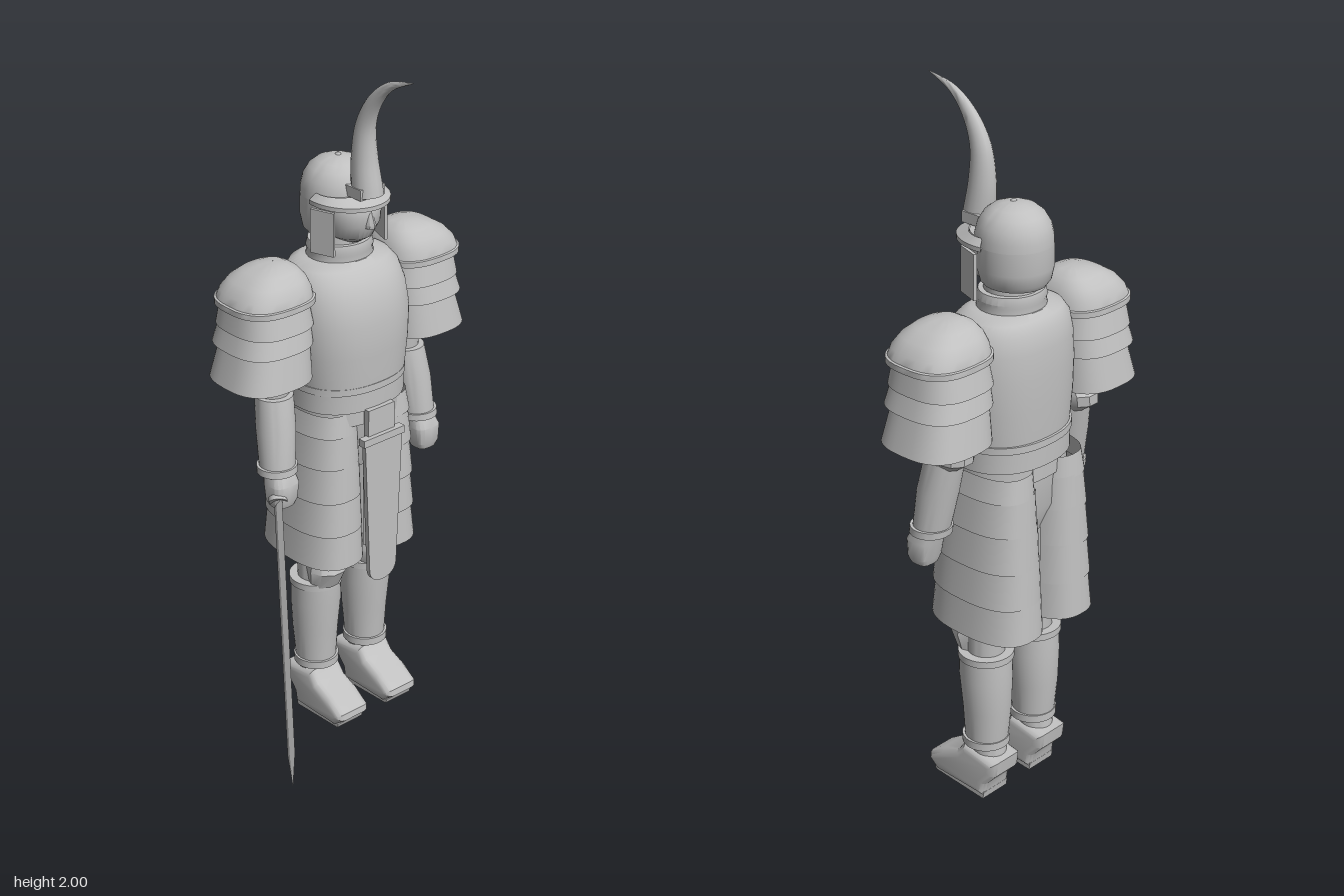
import * as THREE from 'three';
import { toCreasedNormals } from 'three/addons/utils/BufferGeometryUtils.js';

const steel = new THREE.MeshStandardMaterial({ color: 0xc0c0c0, side: THREE.DoubleSide });
steel.name = 'grey steel';

function add(parent, name, geometry) {
  const mesh = new THREE.Mesh(geometry, steel);
  mesh.name = name;
  parent.add(mesh);
  return mesh;
}

// Skin over superelliptic rings [y, centreX, centreZ, radiusX, radiusZ], bottom to top
function loft(rings, { n = 2, sides = 32, from = 0, to = Math.PI * 2, capped = false, crease = 0.6 } = {}) {
  const list = rings.slice();
  if (capped) {
    const cap = ([y, x, z]) => [y, x, z, 0.0005, 0.0005];
    list.unshift(cap(rings[0]));
    list.push(cap(rings[rings.length - 1]));
  }
  const power = v => Math.sign(v) * Math.abs(v) ** (2 / n);
  const pos = [], index = [], w = sides + 1;
  list.forEach(([y, cx, cz, rx, rz]) => {
    for (let j = 0; j <= sides; j++) {
      const t = from + (to - from) * j / sides;
      pos.push(cx + rx * power(Math.cos(t)), y, cz + rz * power(Math.sin(t)));
    }
  });
  for (let i = 0; i < list.length - 1; i++) {
    for (let j = 0; j < sides; j++) {
      const a = i * w + j;
      index.push(a, a + w, a + 1, a + 1, a + w, a + w + 1);
    }
  }
  const g = new THREE.BufferGeometry();
  g.setAttribute('position', new THREE.Float32BufferAttribute(pos, 3));
  g.setIndex(index);
  return toCreasedNormals(g, crease);
}

// Side profile of [z, y] points given thickness across x
function sideProfile(points, width, bevel) {
  const g = new THREE.ExtrudeGeometry(new THREE.Shape(points.map(p => new THREE.Vector2(...p))), {
    depth: width - 2 * bevel, bevelEnabled: bevel > 0, bevelThickness: bevel,
    bevelSize: bevel, bevelOffset: -bevel, bevelSegments: 3,
  });
  g.translate(0, 0, bevel - width / 2).rotateY(-Math.PI / 2);
  return toCreasedNormals(g, 0.6);
}

function buildHead(body) {
  add(body, 'neck', loft([[1.42, 0, 0, 0.075, 0.075], [1.56, 0, 0, 0.07, 0.07]]));
  add(body, 'collar', loft([[1.43, 0, 0, 0.1, 0.09], [1.465, 0, 0, 0.093, 0.085], [1.475, 0, 0, 0.096, 0.088],
    [1.495, 0, 0, 0.09, 0.083], [1.495, 0, 0, 0.075, 0.07]]));
  add(body, 'face', loft([[1.5, 0, 0.035, 0.03, 0.045], [1.52, 0, 0.04, 0.06, 0.07], [1.56, 0, 0.04, 0.082, 0.087],
    [1.6, 0, 0.04, 0.085, 0.09], [1.64, 0, 0.03, 0.085, 0.085]], { capped: true }));
  add(body, 'nose', loft([[1.555, 0, 0.12, 0.016, 0.022], [1.565, 0, 0.122, 0.016, 0.022], [1.61, 0, 0.115, 0.006, 0.012]],
    { capped: true, sides: 8 }));

  // Helmet: closed dome above, open at the face below
  const dome = [[1.61, 1], [1.64, 0.99], [1.67, 0.92], [1.695, 0.77], [1.712, 0.56], [1.722, 0.3], [1.726, 0.01]];
  add(body, 'helmetDome', loft(dome.map(([y, k]) => [y, 0, -0.008, 0.1 * k, 0.103 * k])));
  add(body, 'neckGuard', loft([[1.51, 0, -0.01, 0.08, 0.085], [1.525, 0, -0.01, 0.093, 0.095],
    [1.56, 0, -0.008, 0.101, 0.104], [1.62, 0, -0.008, 0.1, 0.103]], { from: Math.PI - 0.4, to: Math.PI * 2 + 0.4 }));
  add(body, 'helmetFinial', loft([[1.72, 0, -0.005, 0.012, 0.012], [1.731, 0, -0.005, 0.004, 0.004]],
    { capped: true, sides: 12 }));
  add(body, 'visor', loft([[1.625, 0, 0.03, 0.09, 0.075], [1.615, 0, 0.03, 0.112, 0.125], [1.627, 0, 0.03, 0.112, 0.125],
    [1.645, 0, 0.03, 0.095, 0.08]], { from: -0.2, to: Math.PI + 0.2 }));
  for (const s of [-1, 1]) {
    const plate = add(body, 'cheekPlate', new THREE.BoxGeometry(0.009, 0.125, 0.072));
    plate.position.set(s * 0.103, 1.545, 0.052);
    plate.rotation.y = -s * 0.33;
  }

  // Curved tapering horn
  add(body, 'hornMount', new THREE.BoxGeometry(0.085, 0.03, 0.06)).position.set(0, 1.658, 0.105);
  const curve = new THREE.CatmullRomCurve3([[1.645, 0.115], [1.75, 0.102], [1.84, 0.108], [1.91, 0.142],
    [1.965, 0.2], [1.997, 0.29]].map(([y, z]) => new THREE.Vector3(0, y, z)));
  const steps = 28, around = 16;
  const horn = new THREE.TubeGeometry(curve, steps, 1, around);
  const p = horn.attributes.position, v = new THREE.Vector3();
  for (let i = 0; i <= steps; i++) {
    const centre = curve.getPointAt(i / steps);
    const radius = 0.044 * (1 - (i / steps) ** 1.35) + 0.0005;
    for (let j = 0; j <= around; j++) {
      const k = i * (around + 1) + j;
      v.fromBufferAttribute(p, k).sub(centre).multiplyScalar(radius);
      v.x *= 0.95 - 0.25 * i / steps;
      v.add(centre);
      p.setXYZ(k, v.x, v.y, v.z);
    }
  }
  add(body, 'horn', toCreasedNormals(horn, 0.8));
}

function buildTorso(body) {
  add(body, 'breastplate', loft([[1.1, 0, 0.018, 0.168, 0.148], [1.2, 0, 0.018, 0.18, 0.152], [1.29, 0, 0.018, 0.184, 0.152],
    [1.36, 0, 0.012, 0.178, 0.143], [1.41, 0, 0.005, 0.165, 0.128], [1.437, 0, 0, 0.145, 0.108],
    [1.45, 0, 0, 0.11, 0.09]], { n: 2.35, capped: true, sides: 48 }));
  const bands = [[1.092, 1.112, 0.173, 0.153], [1.035, 1.092, 0.17, 0.149], [0.99, 1.035, 0.165, 0.14]];
  bands.forEach(([y0, y1, rx, rz]) =>
    add(body, 'waistBand', loft([[y0, 0, 0.015, rx, rz], [y1, 0, 0.015, rx, rz]], { n: 2.3, capped: true, sides: 48 })));
  add(body, 'hips', loft([[0.82, 0, 0, 0.13, 0.09], [0.9, 0, 0, 0.155, 0.12], [1.03, 0, 0.01, 0.16, 0.13]], { capped: true }));

  // Hanging front cloth
  add(body, 'buckle', new THREE.BoxGeometry(0.095, 0.1, 0.02)).position.set(0, 0.99, 0.167);
  add(body, 'clothBar', new THREE.BoxGeometry(0.148, 0.022, 0.024)).position.set(0, 0.95, 0.178);
  const shape = new THREE.Shape();
  shape.moveTo(-0.068, 0.95);
  shape.lineTo(-0.05, 0.53);
  shape.quadraticCurveTo(-0.045, 0.49, 0, 0.488);
  shape.quadraticCurveTo(0.045, 0.49, 0.05, 0.53);
  shape.lineTo(0.068, 0.95);
  add(body, 'frontCloth', new THREE.ExtrudeGeometry(shape, { depth: 0.014, bevelEnabled: false })).position.z = 0.173;
}

function buildSide(body, s) {
  // Overlapping skirt plates, open towards the middle
  const rows = [[0.965, 1.03, 0.082, 0.14], [0.87, 0.972, 0.089, 0.146], [0.765, 0.88, 0.094, 0.152],
    [0.66, 0.775, 0.098, 0.157], [0.555, 0.67, 0.1, 0.162]];
  const mid = s > 0 ? 0 : Math.PI;
  rows.forEach(([y0, y1, rx, rz]) => {
    const back = -0.006 * (1.03 - y0) / 0.47;
    add(body, 'skirtPlate', loft([[y0, s * 0.098, back, rx + 0.003, rz + 0.005], [y1, s * 0.094, back, rx - 0.005, rz - 0.003]],
      { n: 2.5, from: mid - 2.6, to: mid + 2.6 }));
  });

  // Shoulder dome and flared plates
  const x = s * 0.262;
  add(body, 'shoulderDome', loft([[1.378, x, 0, 0.126, 0.121], [1.394, x, 0, 0.126, 0.121], [1.396, x, 0, 0.12, 0.116],
    [1.418, s * 0.259, 0, 0.114, 0.11], [1.445, s * 0.252, 0, 0.096, 0.094], [1.467, s * 0.243, 0, 0.069, 0.069],
    [1.48, s * 0.235, 0, 0.036, 0.037], [1.484, s * 0.232, 0, 0.001, 0.001]], { n: 2.7, sides: 40 }));
  const plates = [[1.315, 1.385, 0.118, 0.108], [1.262, 1.325, 0.122, 0.112], [1.16, 1.275, 0.125, 0.11]];
  plates.forEach(([y0, y1, r0, r1], i) => {
    const cx = s * (0.262 + 0.008 * i);
    add(body, 'shoulderPlate', loft([[y0, cx, -0.003, r0, r0 + 0.006], [y1, s * 0.262, -0.003, r1, r1]], { n: 2.7, sides: 40 }));
  });

  // Arm
  add(body, 'upperArm', loft([[1.09, s * 0.238, -0.005, 0.046, 0.046], [1.25, s * 0.235, -0.005, 0.055, 0.055],
    [1.4, s * 0.225, 0, 0.06, 0.06]], { capped: true }));
  add(body, 'elbowGuard', loft([[1.075, s * 0.24, -0.015, 0.035, 0.03], [1.1, s * 0.24, -0.025, 0.052, 0.055],
    [1.13, s * 0.238, -0.025, 0.055, 0.056], [1.155, s * 0.236, -0.015, 0.05, 0.045]], { capped: true, sides: 10 }));
  add(body, 'forearm', loft([[0.885, s * 0.26, 0.038, 0.05, 0.05], [1.0, s * 0.25, 0.022, 0.056, 0.056],
    [1.095, s * 0.241, 0.005, 0.054, 0.054]], { capped: true }));
  add(body, 'wristRing', loft([[0.878, s * 0.261, 0.039, 0.058, 0.056], [0.898, s * 0.26, 0.037, 0.058, 0.056]], { capped: true }));
  add(body, 'hand', loft([[0.782, s * 0.265, 0.06, 0.032, 0.03], [0.8, s * 0.265, 0.06, 0.041, 0.036],
    [0.85, s * 0.263, 0.058, 0.045, 0.041], [0.885, s * 0.261, 0.045, 0.036, 0.036]], { n: 3.2, sides: 16, capped: true }));

  // Leg
  const lx = s * 0.095;
  add(body, 'thigh', loft([[0.46, lx, 0, 0.052, 0.052], [0.6, lx, 0, 0.058, 0.058], [0.9, s * 0.085, 0, 0.075, 0.08]], { capped: true }));
  add(body, 'kneeGuard', loft([[0.452, lx, 0.04, 0.05, 0.045], [0.505, lx, 0.05, 0.06, 0.06], [0.55, lx, 0.045, 0.045, 0.045]],
    { capped: true, sides: 10 }));
  add(body, 'greave', loft([[0.17, lx, -0.002, 0.058, 0.06], [0.28, lx, -0.004, 0.066, 0.068], [0.38, lx, 0, 0.073, 0.074],
    [0.455, lx, 0.003, 0.072, 0.073]], { capped: true }));
  [[0.165, 0.188, 0.066], [0.44, 0.46, 0.077]].forEach(([y0, y1, r]) =>
    add(body, 'greaveRing', loft([[y0, lx, 0, r, r], [y1, lx, 0, r, r]], { capped: true })));
  add(body, 'ankle', loft([[0.1, lx, -0.015, 0.046, 0.05], [0.18, lx, -0.005, 0.048, 0.052]], { capped: true }));
  const boot = add(body, 'boot', sideProfile([[0.175, 0.045], [0.172, 0.065], [0.12, 0.1], [0.065, 0.122], [0.038, 0.155],
    [-0.08, 0.135], [-0.075, 0.09], [-0.04, 0.05], [-0.034, 0.012], [0.14, 0.016]], 0.118, 0.022));
  boot.position.x = lx;
  const sole = add(body, 'sole', sideProfile([[0.15, 0.012], [0.155, 0.026], [-0.036, 0.022], [-0.032, 0]], 0.095, 0));
  sole.position.x = lx;
}

function buildSword() {
  const sword = new THREE.Group();
  sword.name = 'sword';
  // Diamond-section blade along +y, broad across x
  const blade = loft([[0.03, 0, 0, 0.024, 0.006], [0.74, 0, 0, 0.021, 0.005], [0.826, 0, 0, 0.0005, 0.0005]],
    { sides: 4, capped: true, crease: 0.2 });
  add(sword, 'blade', blade);
  add(sword, 'guard', new THREE.CylinderGeometry(0.026, 0.026, 0.014, 20)).position.y = 0.03;
  add(sword, 'grip', new THREE.CylinderGeometry(0.013, 0.013, 0.09, 12)).position.y = -0.01;
  const along = new THREE.Vector3(-0.365, -0.55, 0.5).normalize();
  const across = new THREE.Vector3(0, 0.673, 0.74);
  const normal = new THREE.Vector3().crossVectors(across, along).normalize();
  across.crossVectors(along, normal);
  sword.quaternion.setFromRotationMatrix(new THREE.Matrix4().makeBasis(across, along, normal));
  sword.position.set(-0.16, 0.83, -0.135);
  return sword;
}

export function createModel() {
  const model = new THREE.Group();
  model.name = 'armouredWarrior';
  const body = new THREE.Group();
  body.name = 'body';
  body.position.set(0.117, 0, -0.193);
  buildHead(body);
  buildTorso(body);
  for (const s of [-1, 1]) buildSide(body, s);
  model.add(body, buildSword());
  return model;
}
